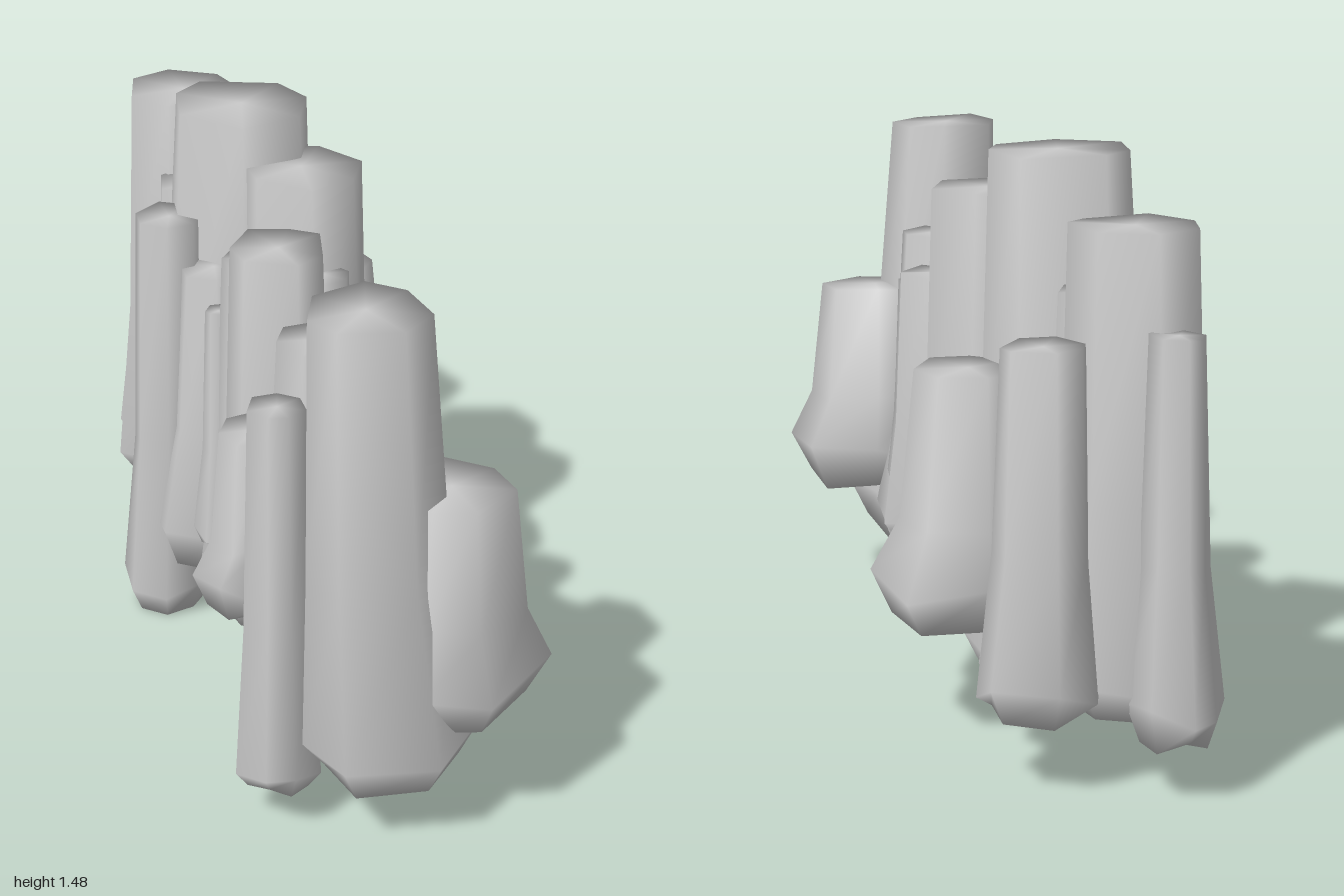
import * as THREE from 'three';

const SIDES = 7;

// Small seeded random in -1..1
function seeded(seed) {
  let s = seed * 7919 + 17;
  return () => {
    s = (s * 16807) % 2147483647;
    return (s / 2147483647) * 2 - 1;
  };
}

// Top centre x, z, top radius, top height, base radius, lowest height, base shift x, z
const COLUMNS = {
  tallFrontColumn: [0.37, 0.78, 0.15, 1.4, 0.225, 0.15, 0.06, -0.01],
  shortLeftColumn: [0.565, 0.69, 0.145, 0.92, 0.235, 0.31, 0.01, -0.01],
  frontCornerColumn: [0.17, 0.84, 0.075, 1.15, 0.11, 0.1],
  frontMiddleColumn: [0.18, 0.53, 0.1, 1.19, 0.16, 0.15],
  frontInnerColumn: [0.33, 0.53, 0.09, 1.11, 0.185, 0.16, -0.02],
  frontSliver: [0.09, 0.43, 0.045, 1.02, 0.075, 0.25],
  leftSliver: [0.33, 0.39, 0.06, 0.99, 0.1, 0.36],
  shortFrontColumn: [0.01, 0.49, 0.095, 0.9, 0.155, 0.38, -0.02, -0.01],
  middleColumn: [0.0, 0.25, 0.125, 1.3, 0.18, 0.23, -0.01],
  middleLeftColumn: [0.23, 0.23, 0.1, 1.05, 0.15, 0.25],
  middleRightColumn: [-0.12, 0.09, 0.085, 1.19, 0.14, 0.2, -0.01, 0.01],
  middleRightSliver: [-0.22, 0.07, 0.035, 1.02, 0.075, 0.33, 0.01, 0.02],
  neckSliver: [-0.01, 0.05, 0.035, 0.99, 0.06, 0.25],
  neckColumn: [0.04, -0.02, 0.07, 1.12, 0.105, 0.14],
  tallMiddleColumn: [-0.06, -0.17, 0.155, 1.36, 0.21, 0.19, 0.01, -0.02],
  tallestColumn: [-0.26, -0.28, 0.183, 1.48, 0.28, 0.08, -0.03, -0.02],
  rightFrontColumn: [-0.28, -0.08, 0.1, 1.08, 0.18, 0.2, -0.02, -0.01],
  rightCornerColumn: [-0.415, -0.11, 0.09, 1.2, 0.12, 0.0, -0.025],
  shortBackColumn: [-0.09, -0.5, 0.137, 0.95, 0.23, 0.28, 0.02, -0.01],
  backInnerColumn: [-0.44, -0.48, 0.12, 1.16, 0.19, 0.12, 0.01],
  backGapColumn: [-0.31, -0.61, 0.085, 0.91, 0.14, 0.15, 0, -0.02],
  tallBackColumn: [-0.555, -0.67, 0.155, 1.36, 0.215, 0.14, -0.01],
  backEndColumn: [-0.38, -0.85, 0.1, 1.09, 0.152, 0.18, 0.005, -0.005],
  backCornerColumn: [-0.7, -0.82, 0.065, 1.13, 0.115, 0.13, -0.01],
};

// Irregular faceted prism: flat top, slight taper, flared foot, blunt underside
function columnGeometry(topR, topY, baseR, lowY, shiftX, shiftZ, seed) {
  const rand = seeded(seed);
  for (let i = 0; i < 5; i++) rand();
  const height = topY - lowY;
  const footY = lowY + Math.min(0.1, baseR * 0.45);
  // Radius, height, height wobble, share of the base shift
  const rings = [
    [topR, topY, 0.006, 0],
    [topR + (baseR - topR) * 0.35, lowY + height * 0.45, 0.03, 0.35],
    [baseR, footY + 0.02, 0.045, 1],
    [baseR * 0.75, lowY + baseR * 0.1, 0.025, 1],
  ];
  const corners = [];
  for (let i = 0; i < SIDES; i++) {
    corners.push([((i + rand() * 0.18) / SIDES + seed * 0.137) * Math.PI * 2, 1.03 + rand() * 0.06]);
  }
  const points = [0, topY, 0];
  for (const [r, y, wobble, share] of rings) {
    for (const [angle, k] of corners) {
      const rr = r * (k + rand() * 0.03);
      const yy = Math.max(lowY, y + rand() * wobble);
      points.push(shiftX * share + Math.sin(angle) * rr, yy, shiftZ * share + Math.cos(angle) * rr);
    }
  }
  points.push(shiftX, lowY, shiftZ);

  const index = [];
  const at = (ring, i) => 1 + ring * SIDES + (i % SIDES);
  const last = points.length / 3 - 1;
  for (let i = 0; i < SIDES; i++) {
    index.push(0, at(0, i), at(0, i + 1));
    for (let r = 0; r < rings.length - 1; r++) {
      const a = at(r, i), b = at(r, i + 1), c = at(r + 1, i), d = at(r + 1, i + 1);
      index.push(a, c, b, b, c, d);
    }
    index.push(last, at(rings.length - 1, i + 1), at(rings.length - 1, i));
  }
  const geometry = new THREE.BufferGeometry();
  geometry.setAttribute('position', new THREE.Float32BufferAttribute(points, 3));
  geometry.setIndex(index);
  geometry.computeVertexNormals(); // shared corners keep the stone softly shaded
  return geometry;
}

export function createModel() {
  const group = new THREE.Group();
  group.name = 'rockColumns';
  const stone = new THREE.MeshStandardMaterial({ color: 0xcccccc });
  Object.entries(COLUMNS).forEach(([name, spec], i) => {
    const [x, z, topR, topY, baseR, lowY, shiftX = 0, shiftZ = 0] = spec;
    const column = new THREE.Mesh(columnGeometry(topR, topY, baseR, lowY, shiftX, shiftZ, i + 1), stone);
    column.name = name;
    column.position.set(x, 0, z);
    group.add(column);
  });
  return group;
}
